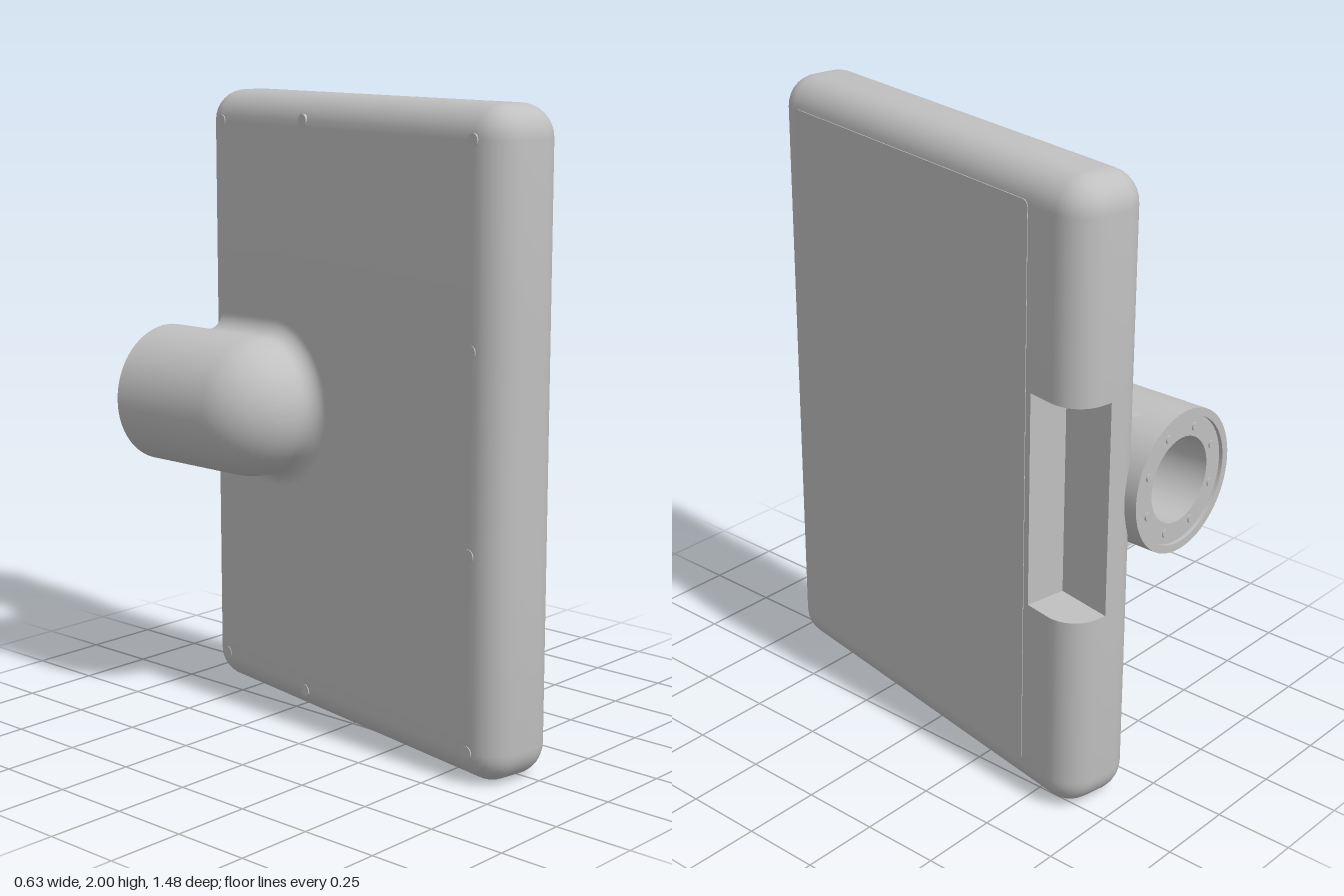
import * as THREE from 'three';
import { toCreasedNormals } from 'three/addons/utils/BufferGeometryUtils.js';

const V = (x, y, z) => new THREE.Vector3(x, y, z);
const TILT = THREE.MathUtils.degToRad(-10);
const BODY = V(0.07, 0, 0.02);            // centre of the slab's footprint
const A = 0.035, B = 0.623, R = 0.1;      // slab core half sizes and edge radius
const BACK = A + R;
const MOUNT = { x: -0.095, y: 1.01, r: 0.225, start: -0.74, dome: -0.35 };

// Skin a list of equally long rows of points
function skin(rows, closed) {
  const n = rows[0].length, index = [];
  for (let i = 0; i < rows.length - 1; i++) {
    for (let j = 0; j < (closed ? n : n - 1); j++) {
      const k = (j + 1) % n, a = i * n, b = a + n;
      index.push(a + j, b + j, a + k, a + k, b + j, b + k);
    }
  }
  const g = new THREE.BufferGeometry().setFromPoints(rows.flat());
  g.setIndex(index);
  return g;
}

// Horizontal slab section; the notched one loses its front half near the edge
function section(y, rho, notched) {
  const pts = [];
  const corners = [[1, 1], [-1, 1], [-1, -1], [1, -1]];
  corners.forEach(([sx, sz], c) => {
    for (let i = 0; i <= 8; i++) {
      const t = (c + i / 8) * Math.PI / 2;
      const x = sx * A + rho * Math.cos(t);
      pts.push(V(notched && c === 3 ? 0 : x, y, sz * B + rho * Math.sin(t)));
    }
  });
  pts.push(V(notched ? 0 : A + rho, y, -0.531), V(A + rho, y, -0.531));
  return pts;
}

function slabGeometry() {
  const lower = [], upper = [];
  for (let i = 0; i <= 8; i++) {
    const t = (i / 8) * Math.PI / 2, rho = R * Math.sin(t), drop = R * (1 - Math.cos(t));
    lower.push(section(drop, rho));
    upper.unshift(section(2 - drop, rho));
  }
  const tip = y => lower[0].map(() => V(0, y, 0));
  const rows = [tip(0), ...lower,
    section(0.66, R), section(0.66, R, true), section(1.345, R, true), section(1.345, R),
    ...upper, tip(2)];
  return toCreasedNormals(skin(rows, true), 0.6);
}

// Thin rounded front panel
function panelGeometry() {
  const s = new THREE.Shape(), w = 1.13, h = 1.81, r = 0.02;
  s.absarc(w - r, r, r, -Math.PI / 2, 0);
  s.absarc(w - r, h - r, r, 0, Math.PI / 2);
  s.absarc(r, h - r, r, Math.PI / 2, Math.PI);
  s.absarc(r, r, r, Math.PI, Math.PI * 1.5);
  return new THREE.ExtrudeGeometry(s, { depth: 0.004, bevelEnabled: false, curveSegments: 4 });
}

// Domed tube with a stepped rim and a blind bore
function mountGeometry() {
  const { r, start, dome } = MOUNT;
  const p = [[0, -0.45], [0.135, -0.45], [0.135, start + 0.012], [0.2, start + 0.012],
    [0.2, start], [r, start]].map(q => new THREE.Vector2(...q));
  for (let i = 0; i <= 16; i++) {
    const t = (i / 16) * Math.PI / 2;
    p.push(new THREE.Vector2(i === 16 ? 0 : r * Math.cos(t), dome + r * Math.sin(t)));
  }
  return toCreasedNormals(new THREE.LatheGeometry(p, 64).rotateX(Math.PI / 2), 0.6);
}

// Concave blend rolled along the seam between the mount and the slab's back
function filletGeometry() {
  const f = 0.05, { x, y, r, dome } = MOUNT, reach = r + f;
  const up = V(0, 1, 0);
  const n = V(-1, 0, 0).applyAxisAngle(up, TILT);
  const fwd = V(0, 0, 1).applyAxisAngle(up, TILT);
  const P = BODY.clone().addScaledVector(n, BACK);
  const rows = [];
  const addRow = (c, axis) => {
    const toSlab = n.clone().negate(), toMount = axis.clone().sub(c).normalize();
    rows.push(Array.from({ length: 9 }, (_, i) =>
      c.clone().addScaledVector(toSlab.clone().lerp(toMount, i / 8).normalize(), f)));
  };
  const alongTube = (z, side) => {
    const cos = ((f - n.z * (z - P.z)) / n.x - x + P.x) / reach;
    const sin = side * Math.sqrt(1 - cos * cos);
    addRow(V(x + reach * cos, y + reach * sin, z), V(x, y, z));
  };
  for (let i = 0; i < 8; i++) alongTube(THREE.MathUtils.lerp(-0.64, dome, i / 8), 1);
  const S = V(x, y, dome), h = n.dot(S.clone().sub(P)) - f;
  const Q = S.clone().addScaledVector(n, -h), rad = Math.sqrt(reach * reach - h * h);
  const a0 = Math.asin((dome - Q.z) / (rad * fwd.z));
  for (let i = 0; i <= 32; i++) {
    const a = THREE.MathUtils.lerp(a0, Math.PI - a0, i / 32);
    addRow(Q.clone().addScaledVector(up, rad * Math.cos(a))
      .addScaledVector(fwd, rad * Math.sin(a)), S);
  }
  for (let i = 7; i >= 0; i--) alongTube(THREE.MathUtils.lerp(-0.64, dome, i / 8), -1);
  const g = skin(rows, false);
  g.computeVertexNormals();
  return g;
}

export function createModel() {
  const grey = new THREE.MeshStandardMaterial({ color: 0xc0c0c0, side: THREE.DoubleSide });
  grey.name = 'light grey';
  const add = (parent, name, geometry) => {
    const m = new THREE.Mesh(geometry, grey);
    m.name = name;
    parent.add(m);
    return m;
  };
  const model = new THREE.Group();
  model.name = 'wallPanelWithMount';

  // Tilted slab
  const body = new THREE.Group();
  body.name = 'body';
  body.position.copy(BODY);
  body.rotation.y = TILT;
  model.add(body);
  add(body, 'housing', slabGeometry());
  const panel = add(body, 'frontPanel', panelGeometry());
  panel.rotation.y = Math.PI / 2;
  panel.position.set(BACK - 0.002, 0.1, 0.62);

  // Small fasteners around the edge of the back
  const spots = [[-0.62, 0.1], [-0.62, 0.7], [-0.62, 1.3], [-0.62, 1.9],
    [0.18, 0.08], [0.18, 1.92], [0.62, 0.1], [0.62, 1.9]];
  const pin = new THREE.CylinderGeometry(0.02, 0.02, 0.02, 16).rotateZ(Math.PI / 2);
  for (const [u, y] of spots) add(body, 'backFastener', pin).position.set(-BACK + 0.008, y, -u);

  // Mounting tube
  const mount = new THREE.Group();
  mount.name = 'mount';
  mount.position.set(MOUNT.x, MOUNT.y, 0);
  model.add(mount);
  add(mount, 'mountTube', mountGeometry());
  const bolt = new THREE.CylinderGeometry(0.013, 0.013, 0.012, 12).rotateX(Math.PI / 2);
  for (let i = 0; i < 8; i++) {
    const t = (i + 0.5) * Math.PI / 4;
    add(mount, 'rimBolt', bolt).position.set(0.165 * Math.cos(t), 0.165 * Math.sin(t), MOUNT.start + 0.013);
  }
  add(model, 'mountFillet', filletGeometry());
  return model;
}
